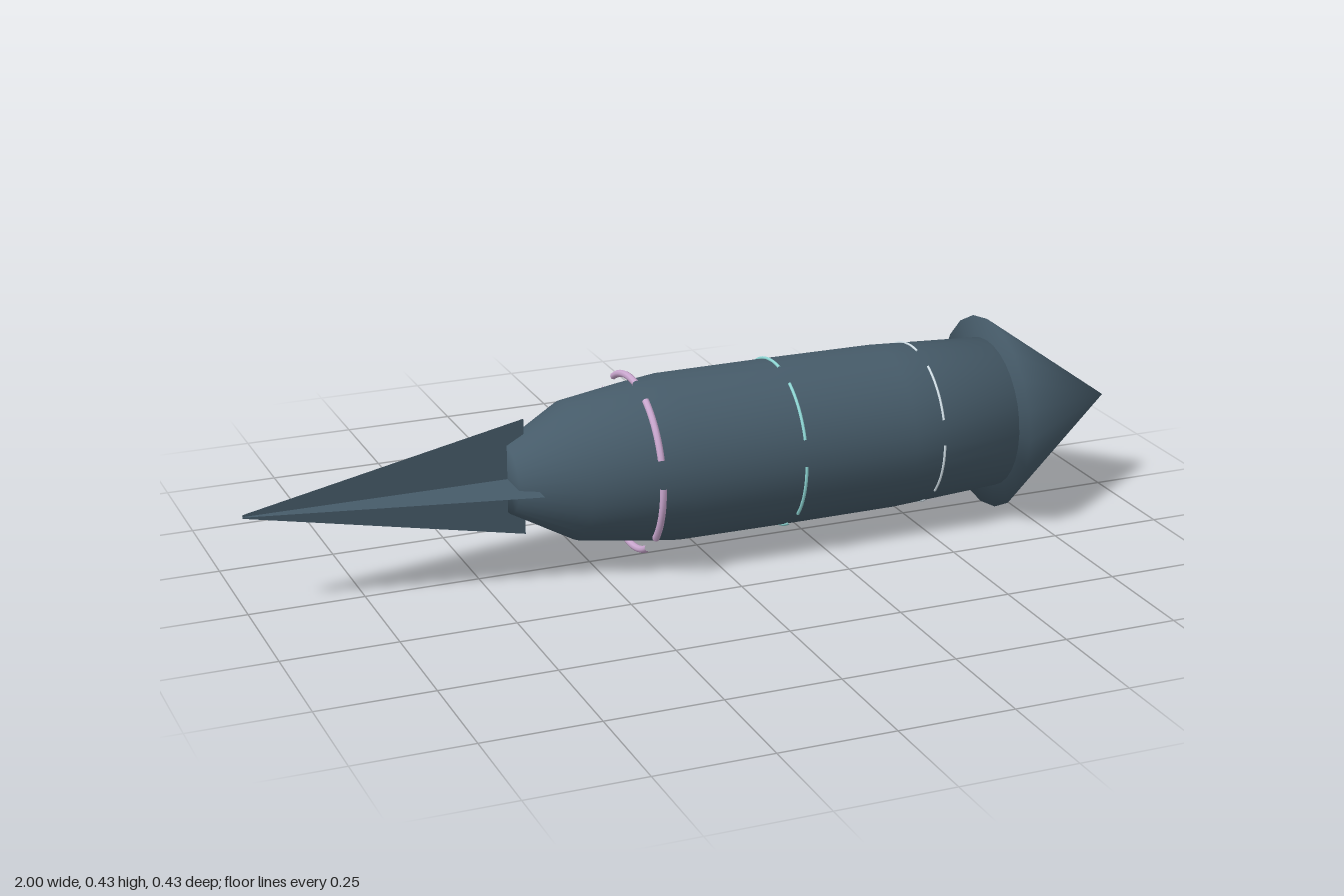
import * as THREE from 'three';
import { mergeVertices } from 'three/addons/utils/BufferGeometryUtils.js';

const AXIS_Y = 0.2175;

// Share vertices across every seam and edge, so shading runs smoothly over the whole part
function smooth(geometry) {
  geometry.deleteAttribute('normal');
  geometry.deleteAttribute('uv');
  const merged = mergeVertices(geometry, 1e-4);
  merged.computeVertexNormals();
  return merged;
}

export function createModel() {
  const group = new THREE.Group();
  const material = (name, color) => {
    const m = new THREE.MeshStandardMaterial({ color });
    m.name = name;
    return m;
  };
  const hull = material('slate', 0x465b69);
  hull.side = THREE.DoubleSide;
  const lilac = material('lilac band', 0xcba8d0);
  const teal = material('teal band', 0x8fd8d6);
  const pale = material('pale blue band', 0xd8e6ee);

  const add = (name, geometry, mat, parent = group) => {
    const mesh = new THREE.Mesh(geometry, mat);
    mesh.name = name;
    parent.add(mesh);
    return mesh;
  };

  // Body turned around the x axis, closed at both ends: [position along x, radius]
  const profile = [[-0.431, 0], [-0.431, 0.075], [-0.295, 0.15], [-0.155, 0.171],
    [-0.07, 0.181], [0.18, 0.182], [0.44, 0.181], [0.7, 0.167], [0.7, 0]];
  const points = profile.map(([x, r]) => new THREE.Vector2(r, x));
  const body = smooth(new THREE.LatheGeometry(points, 32));
  body.rotateZ(-Math.PI / 2).translate(0, AXIS_Y, 0);
  add('body', body, hull);

  // Wide conical nose, overhanging the body
  const nose = smooth(new THREE.ConeGeometry(0.2165, 0.303, 20));
  nose.rotateZ(-Math.PI / 2).translate(0.8475, AXIS_Y, 0);
  add('noseCone', nose, hull);

  // Two crossed triangular plates form the four tail fins
  const finGeometry = new THREE.ShapeGeometry(new THREE.Shape([
    new THREE.Vector2(-1, -0.004), new THREE.Vector2(-0.393, -0.13),
    new THREE.Vector2(-0.393, 0.13), new THREE.Vector2(-1, 0.004),
  ]));
  for (let i = 0; i < 2; i++) {
    const fins = add('tailFins', finGeometry, hull);
    fins.rotation.x = i * Math.PI / 2;
    fins.position.y = AXIS_Y;
  }

  // Bands, each made of six separate arcs around the body
  const bands = [
    ['rearBand', -0.153, 0.19, 0.0078, lilac],
    ['middleBand', 0.178, 0.183, 0.0035, teal],
    ['frontBand', 0.509, 0.1775, 0.0028, pale],
  ];
  const start = THREE.MathUtils.degToRad(19.5);
  const arc = THREE.MathUtils.degToRad(42);
  for (const [name, x, radius, tube, mat] of bands) {
    const band = new THREE.Group();
    band.name = name;
    band.position.set(x, AXIS_Y, 0);
    const geometry = new THREE.TorusGeometry(radius, tube, 8, 12, arc);
    // Arc angle runs from +z towards +y
    geometry.rotateZ(start).rotateY(-Math.PI / 2);
    for (let i = 0; i < 6; i++) {
      add('bandArc', geometry, mat, band).rotation.x = i * Math.PI / 3;
    }
    group.add(band);
  }

  return group;
}
